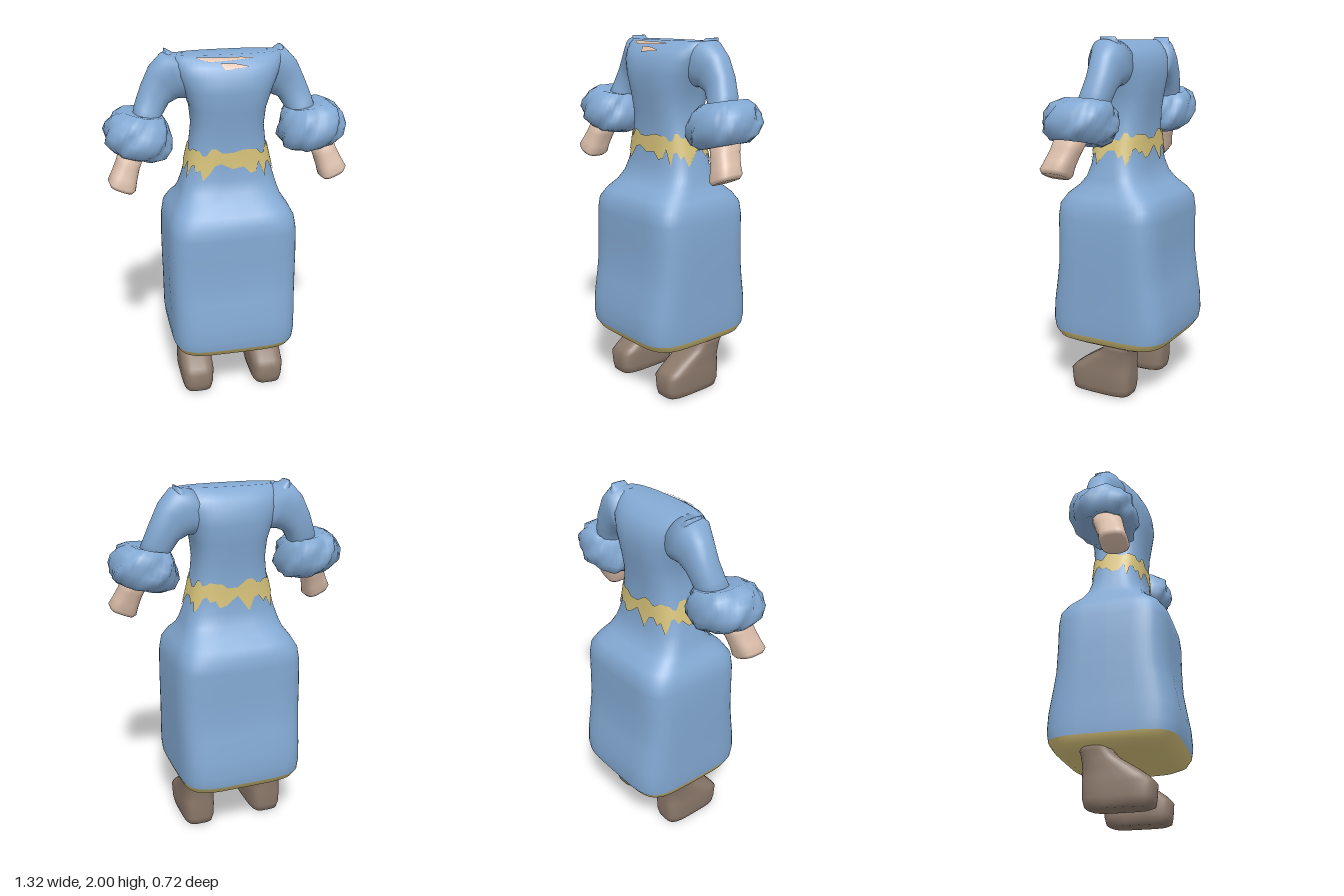
import * as THREE from 'three';

const mat = (name, color, side = THREE.FrontSide) => {
  const m = new THREE.MeshStandardMaterial({ color, side });
  m.name = name;
  return m;
};

const SEG = 48;

// One superellipse ring, tilted about z; bump roughens the outline
function ring(cx, cy, cz, hu, hw, n = 2, tilt = 0, bump = () => 1) {
  const pts = [];
  for (let j = 0; j < SEG; j++) {
    const t = (j / SEG) * Math.PI * 2, c = Math.cos(t), s = Math.sin(t), k = bump(j);
    const u = Math.sign(c) * Math.abs(c) ** (2 / n) * hu * k;
    const w = Math.sign(s) * Math.abs(s) ** (2 / n) * hw * k;
    pts.push([cx + u * Math.cos(tilt), cy + u * Math.sin(tilt), cz + w]);
  }
  return pts;
}

// Skin a stack of rings, listed from bottom to top
function loft(rings, capBottom = true, capTop = true) {
  const pos = rings.flat(2), idx = [];
  for (let i = 0; i < rings.length - 1; i++) {
    for (let j = 0; j < SEG; j++) {
      const k = (j + 1) % SEG, a = i * SEG + j, b = i * SEG + k;
      idx.push(a, a + SEG, b, b, a + SEG, b + SEG);
    }
  }
  const cap = (r, top) => {
    const c = pos.length / 3, pts = rings[r];
    pos.push(...[0, 1, 2].map(d => pts.reduce((sum, p) => sum + p[d], 0) / SEG));
    for (let j = 0; j < SEG; j++) {
      const a = r * SEG + j, b = r * SEG + (j + 1) % SEG;
      idx.push(c, ...(top ? [b, a] : [a, b]));
    }
  };
  if (capBottom) cap(0, false);
  if (capTop) cap(rings.length - 1, true);
  const g = new THREE.BufferGeometry();
  g.setAttribute('position', new THREE.Float32BufferAttribute(pos, 3));
  g.setIndex(idx);
  g.computeVertexNormals();
  return g;
}

// Gown profile: y, half width, half depth, squareness
const GOWN = [
  [0.30, 0.29, 0.27, 5], [0.325, 0.335, 0.325, 5], [0.365, 0.352, 0.352, 5],
  [0.42, 0.357, 0.361, 5], [0.52, 0.358, 0.355, 5], [0.65, 0.36, 0.332, 5],
  [0.75, 0.363, 0.316, 5], [0.9, 0.364, 0.311, 5], [1.03, 0.36, 0.312, 5],
  [1.1, 0.348, 0.305, 5], [1.15, 0.322, 0.275, 4.5], [1.2, 0.288, 0.215, 4],
  [1.25, 0.272, 0.175, 3.5], [1.32, 0.252, 0.158, 3], [1.4, 0.232, 0.15, 3],
  [1.5, 0.208, 0.147, 3], [1.6, 0.196, 0.155, 3], [1.7, 0.205, 0.172, 3],
  [1.8, 0.24, 0.186, 2.8], [1.88, 0.275, 0.177, 2.6], [1.93, 0.292, 0.148, 2.5],
  [1.965, 0.295, 0.11, 2.5], [1.985, 0.28, 0.075, 2.5],
];
const CX = 0.008, CZ = -0.004;

function gownAt(y) {
  let i = 0;
  while (i < GOWN.length - 2 && GOWN[i + 1][0] < y) i++;
  const a = GOWN[i], b = GOWN[i + 1], f = (y - a[0]) / (b[0] - a[0]);
  return a.map((v, d) => v + (b[d] - v) * f);
}
const gownRing = ([y, hx, hz, n], grow = 0) => ring(CX, y, CZ, hx + grow, hz + grow, n);

// Sash: thin shell over the waist with ragged edges
function sashGeometry() {
  const drop = [0.02, 0.07, 0.03, 0.1, 0.04, 0.01, 0.06];
  const rise = [0.03, 0.015, 0.04, 0.0, 0.025];
  const rows = [0, 0.25, 0.5, 0.75, 1].map(f => Array.from({ length: SEG }, (_, j) => {
    const lo = 1.425 - drop[(j * 3 >> 1) % 7], hi = 1.46 + rise[(j >> 1) % 5];
    return gownRing(gownAt(lo + (hi - lo) * f), 0.006)[j];
  }));
  return loft(rows, false, false);
}

// Bare skin at the neckline: ragged slivers laid on the chest, [x, low, high]
function necklineGeometry() {
  const slivers = [
    [[-0.17, 1.971, 1.974], [-0.11, 1.955, 1.974], [-0.02, 1.958, 1.972], [0.06, 1.962, 1.972], [0.12, 1.965, 1.968]],
    [[-0.05, 1.945, 1.948], [-0.03, 1.918, 1.948], [0.03, 1.925, 1.945], [0.09, 1.928, 1.933]],
  ];
  const pos = [], idx = [];
  for (const cols of slivers) {
    const start = pos.length / 3;
    for (const [x, lo, hi] of cols) {
      for (const y of [lo, (lo + hi) / 2, hi]) {
        const [, hx, hz, n] = gownAt(y);
        pos.push(x, y + 0.004, CZ + hz * (1 - Math.abs((x - CX) / hx) ** n) ** (1 / n) + 0.005);
      }
    }
    for (let i = 0; i < cols.length - 1; i++) {
      for (let r = 0; r < 2; r++) {
        const a = start + i * 3 + r;
        idx.push(a, a + 3, a + 1, a + 1, a + 3, a + 4);
      }
    }
  }
  const g = new THREE.BufferGeometry();
  g.setAttribute('position', new THREE.Float32BufferAttribute(pos, 3));
  g.setIndex(idx);
  g.computeVertexNormals();
  return g;
}

// Limb rows: x, y, z, half width, half depth, tilt, squareness
const SLEEVE = [
  [0.44, 1.6, 0.0, 0.08, 0.085, 0.4, 2.3], [0.415, 1.69, -0.03, 0.078, 0.08, 0.45, 2.3],
  [0.375, 1.77, -0.045, 0.088, 0.078, 0.6, 2.3], [0.325, 1.83, -0.045, 0.115, 0.085, 0.85, 2.3],
  [0.27, 1.865, -0.035, 0.138, 0.105, 1.1, 2.3], [0.19, 1.86, -0.02, 0.13, 0.12, 1.3, 2.3],
];
const CUFF = [
  [0.515, 1.5, 0.04, 0.07, 0.08, 0.25, 2], [0.5, 1.468, 0.03, 0.125, 0.125, 0.25, 2.2],
  [0.49, 1.5, 0.025, 0.172, 0.165, 0.25, 2.3], [0.48, 1.55, 0.02, 0.182, 0.183, 0.25, 2.4],
  [0.472, 1.6, 0.017, 0.172, 0.178, 0.25, 2.4], [0.464, 1.65, 0.01, 0.148, 0.165, 0.22, 2.4],
  [0.45, 1.685, 0.0, 0.11, 0.125, 0.2, 2.2], [0.435, 1.67, -0.01, 0.06, 0.07, 0.2, 2],
];
const HAND = [
  [0.59, 1.305, 0.105, 0.062, 0.065, 0.4, 3], [0.585, 1.325, 0.102, 0.077, 0.078, 0.4, 3],
  [0.568, 1.37, 0.09, 0.07, 0.075, 0.4, 2.8], [0.545, 1.43, 0.07, 0.065, 0.078, 0.4, 2.5],
  [0.515, 1.51, 0.045, 0.072, 0.085, 0.4, 2.3],
];
const limb = (rows, side, bump = () => () => 1) => loft(rows.map(
  ([x, y, z, hu, hw, tilt, n], i) => ring(side * x, y, z, hu, hw, n, side * tilt, bump(i))));

// Gathered, uneven folds of the cuffs
const folds = i => j => 1 + 0.045 * Math.sin(j * Math.PI / 4 + i * 1.9) + 0.035 * Math.sin(j * Math.PI * 11 / 24 + i * 2.7);

// Boot rows: y, half width, front z, back z, squareness
const BOOT = [
  [0.0, 0.065, 0.19, -0.11, 3.5], [0.012, 0.085, 0.215, -0.14, 4], [0.05, 0.094, 0.222, -0.15, 4],
  [0.125, 0.097, 0.228, -0.153, 4], [0.155, 0.096, 0.2, -0.154, 3.5], [0.2, 0.096, 0.14, -0.155, 3],
  [0.25, 0.098, 0.06, -0.158, 3], [0.29, 0.1, 0.015, -0.165, 3], [0.33, 0.11, 0.01, -0.18, 3],
];

export function createModel() {
  const blue = mat('blue cloth', 0x83a9d3);
  const gold = mat('gold trim', 0xd6c27a, THREE.DoubleSide);
  const skin = mat('skin', 0xdcbfab, THREE.DoubleSide);
  const brown = mat('brown leather', 0x8c796b);

  const model = new THREE.Group();
  model.name = 'gownFigure';
  const add = (name, geometry, material, parent = model) => {
    const mesh = new THREE.Mesh(geometry, material);
    mesh.name = name;
    parent.add(mesh);
  };

  // Gown, split at the hem line
  add('gown', loft(GOWN.slice(2).map(r => gownRing(r)), false, true), blue);
  add('hem', loft(GOWN.slice(0, 3).map(r => gownRing(r)), true, false), gold);
  add('sash', sashGeometry(), gold);
  add('neckline', necklineGeometry(), skin);

  for (const side of [1, -1]) {
    const label = side > 0 ? 'left' : 'right';

    // Arm
    const arm = new THREE.Group();
    arm.name = label + 'Arm';
    add(label + 'Sleeve', limb(SLEEVE, side), blue, arm);
    add(label + 'Cuff', limb(CUFF, side, folds), blue, arm);
    add(label + 'Hand', limb(HAND, side), skin, arm);
    // Pointed shoulder seam
    add(label + 'ShoulderPoint', limb([
      [0.27, 1.9, -0.04, 0.08, 0.08, 0, 2], [0.285, 1.955, -0.045, 0.052, 0.065, 0, 2],
      [0.3, 1.985, -0.045, 0.024, 0.05, 0, 2], [0.312, 2.0, -0.045, 0.008, 0.045, 0, 2],
    ], side), blue, arm);
    model.add(arm);

    // Boot
    add(label + 'Boot', loft(BOOT.map(([y, hx, front, back, n]) =>
      ring(CX * 1.5 + side * 0.212, y, (front + back) / 2, hx, (front - back) / 2, n))), brown);
  }
  return model;
}
